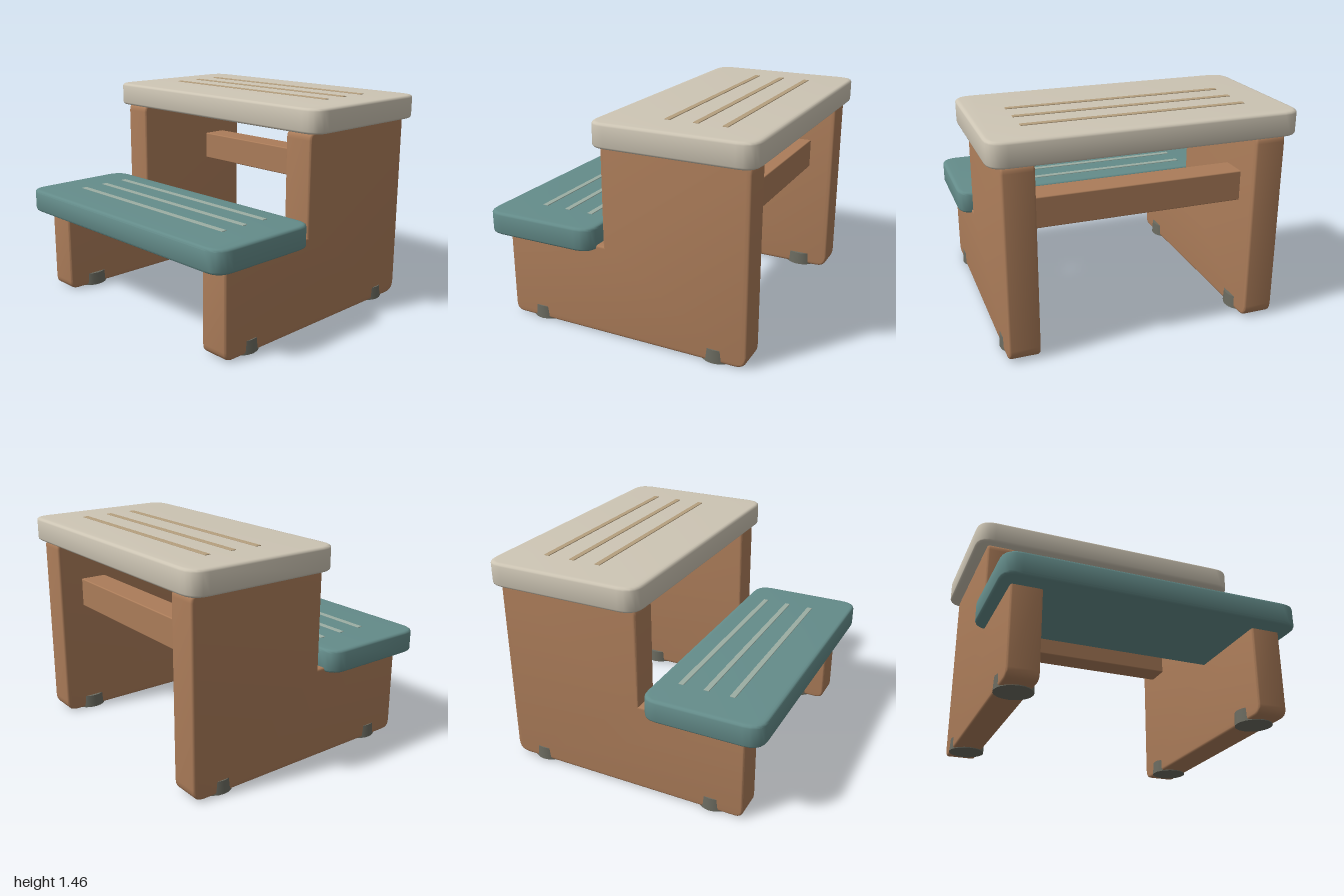
import * as THREE from 'three';
import { toCreasedNormals } from 'three/addons/utils/BufferGeometryUtils.js';
import { RoundedBoxGeometry } from 'three/addons/geometries/RoundedBoxGeometry.js';

const paint = (name, color) => {
  const m = new THREE.MeshStandardMaterial({ color });
  m.name = name;
  return m;
};

// Closed outline whose corners [x, y, radius] are rounded
function roundedShape(corners) {
  const shape = new THREE.Shape();
  const n = corners.length;
  corners.forEach(([x, y, r], i) => {
    const toward = ([px, py]) => {
      const d = Math.hypot(px - x, py - y);
      return [x + ((px - x) * r) / d, y + ((py - y) * r) / d];
    };
    const a = toward(corners[(i + n - 1) % n]);
    const b = toward(corners[(i + 1) % n]);
    if (i === 0) shape.moveTo(...a);
    else shape.lineTo(...a);
    if (r > 0) shape.quadraticCurveTo(x, y, ...b);
  });
  shape.closePath();
  return shape;
}

// Slab of the outline, centred in its thickness, with softened edges
function slab(shape, thickness, inset, rise) {
  const g = new THREE.ExtrudeGeometry(shape, {
    depth: thickness - 2 * rise, bevelEnabled: true, bevelSize: inset,
    bevelOffset: -inset, bevelThickness: rise, bevelSegments: 3, curveSegments: 5,
  });
  g.translate(0, 0, rise - thickness / 2);
  return toCreasedNormals(g, 0.7);
}

export function createModel() {
  const model = new THREE.Group();
  model.name = 'stepStool';
  const wood = paint('wood', 0xab7c59);
  const cream = paint('cream', 0xcdc5b4);
  const teal = paint('teal', 0x648c8a);
  const tan = paint('tanGrip', 0xb59f7e);
  const pale = paint('paleGrip', 0x9bada3);
  const rubber = paint('rubber', 0x6b6b60);

  const add = (parent, name, geometry, material, x, y, z) => {
    const mesh = new THREE.Mesh(geometry, material);
    mesh.name = name;
    mesh.position.set(x, y, z);
    parent.add(mesh);
    return mesh;
  };

  // Stepped side panels, outlined in z and y
  const panel = slab(roundedShape([
    [0.82, 0.005, 0.06], [0.82, 0.625, 0.02], [0.09, 0.625, 0],
    [0.09, 1.3, 0.05], [-0.905, 1.3, 0.05], [-0.905, 0.005, 0.08],
  ]), 0.203, 0.015, 0.015);
  panel.rotateY(-Math.PI / 2);

  // Slightly tapered rubber feet
  const foot = new THREE.CylinderGeometry(0.118, 0.123, 0.09, 20);

  for (const side of [-1, 1]) {
    const label = side > 0 ? 'left' : 'right';
    add(model, label + 'Panel', panel, wood, side * 0.818, 0, 0);
    add(model, label + 'FrontFoot', foot, rubber, side * 0.811, 0.045, 0.595);
    add(model, label + 'BackFoot', foot, rubber, side * 0.811, 0.045, -0.685);
  }

  // Rear cross rail
  add(model, 'crossRail', new RoundedBoxGeometry(1.5, 0.205, 0.19, 2, 0.008), wood, 0, 0.9125, -0.635);

  // Treads with three raised grip strips each
  function tread(name, material, gripMaterial, zBack, zFront, yLow, yHigh, gripZs) {
    const group = new THREE.Group();
    group.name = name;
    model.add(group);
    const h = (zFront - zBack) / 2;
    const r = 0.12;
    const g = slab(roundedShape([[-1, -h, r], [1, -h, r], [1, h, r], [-1, h, r]]), yHigh - yLow, 0.025, 0.018);
    g.rotateX(-Math.PI / 2);
    add(group, name + 'Board', g, material, 0, (yLow + yHigh) / 2, (zBack + zFront) / 2);
    const strip = new RoundedBoxGeometry(1.48, 0.009, 0.038, 2, 0.003);
    gripZs.forEach((z, i) => add(group, name + 'Grip' + (i + 1), strip, gripMaterial, 0, yHigh + 0.0005, z));
  }
  tread('upperTread', cream, tan, -0.955, 0.135, 1.295, 1.457, [-0.66, -0.47, -0.28]);
  tread('lowerTread', teal, pale, 0.138, 0.952, 0.593, 0.75, [0.3, 0.477, 0.655]);

  return model;
}
